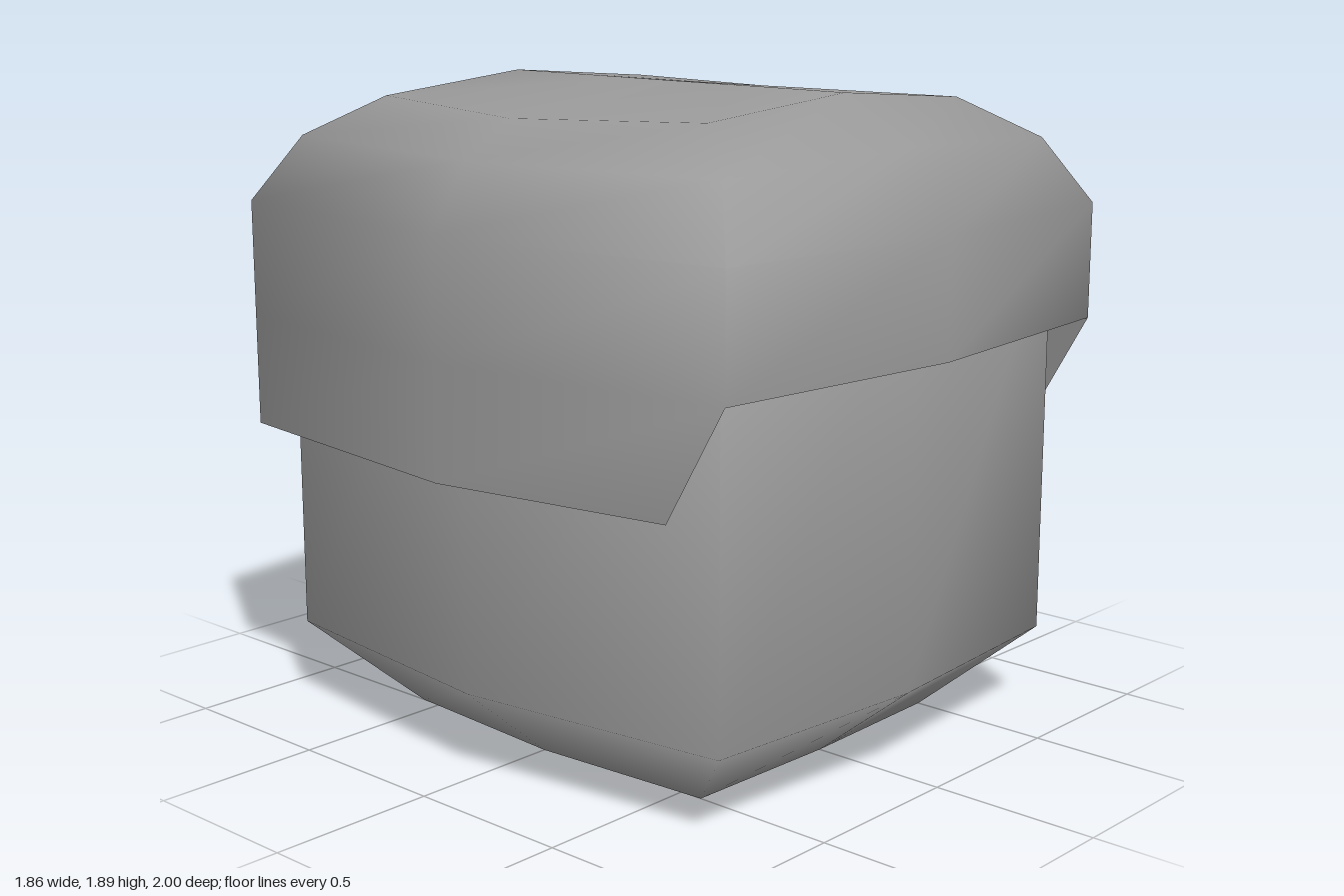
import * as THREE from 'three';

const material = new THREE.MeshStandardMaterial({ color: 0x999999, side: THREE.DoubleSide });

// Eight-sided ring: front/back middles, four corners, side middles.
// Mid-front and corner are given as [x, y, z], mid-side as [x, y].
function ring([, fy, fz], [cx, cy, cz], [sx, sy]) {
  return [
    [0, fy, fz], [cx, cy, cz], [sx, sy, 0], [cx, cy, -cz],
    [0, fy, -fz], [-cx, cy, -cz], [-sx, sy, 0], [-cx, cy, cz],
  ];
}

// Mirrors a half loop running from mid-front to mid-back into a full loop.
function mirrored(half) {
  const other = half.slice(1, -1).reverse().map(([x, y, z]) => [-x, y, z]);
  return [...half, ...other];
}

// Skins stacked rings; optional centre points close the ends, skip() leaves gaps.
function loft(rings, { bottom, top, skip = () => false, flat = false } = {}) {
  const n = rings[0].length;
  const points = rings.flat();
  const index = [];
  for (let r = 0; r < rings.length - 1; r++) {
    for (let i = 0; i < n; i++) {
      if (skip(r, i)) continue;
      const a = r * n + i, b = r * n + (i + 1) % n;
      index.push(a, b, b + n, a, b + n, a + n);
    }
  }
  const cap = (centre, base, up) => {
    const c = points.push(centre) - 1;
    for (let i = 0; i < n; i++) {
      const a = base + i, b = base + (i + 1) % n;
      index.push(c, up ? a : b, up ? b : a);
    }
  };
  if (bottom) cap(bottom, 0, false);
  if (top) cap(top, (rings.length - 1) * n, true);
  let geometry = new THREE.BufferGeometry();
  geometry.setAttribute('position', new THREE.Float32BufferAttribute(points.flat(), 3));
  geometry.setIndex(index);
  if (flat) geometry = geometry.toNonIndexed();
  geometry.computeVertexNormals();
  return geometry;
}

function addMesh(group, name, geometry) {
  const mesh = new THREE.Mesh(geometry, material);
  mesh.name = name;
  group.add(mesh);
}

export function createModel() {
  const model = new THREE.Group();
  model.name = 'headWithCap';

  // Head: bevelled chin, straight sides running up inside the cap
  const headRing = (y) => ring([0, y, 0.895], [0.73, y, 0.835], [0.833, y]);
  addMesh(model, 'head', loft([
    ring([0, 0, 0.585], [0.5, 0, 0.57], [0.54, 0]),
    headRing(0.25),
    headRing(1.5),
  ], { bottom: [0, 0, 0], top: [0, 1.6, 0] }));

  // Cap shell: skirt is cut away over the face, crown steps in to a ridge with a fine slit
  const hem = 0.872;
  const skirt = ring([0, hem, 1], [0.81, hem, 0.92], [0.93, hem]);
  skirt[1] = [0.815, hem, 0.73];
  skirt[7] = [-0.815, hem, 0.73];
  const wall = (y) => ring([0, y, 1], [0.81, y, 0.92], [0.93, y]);
  addMesh(model, 'cap', loft([
    skirt,
    wall(1.2),
    wall(1.54),
    ring([0, 1.76, 0.865], [0.7, 1.73, 0.81], [0.8, 1.725]),
    ring([0, 1.89, 0.635], [0.54, 1.845, 0.62], [0.64, 1.825]),
    ring([0, 1.89, 0.28], [0.002, 1.89, 0.14], [0.003, 1.89]),
  ], { skip: (r, i) => r === 0 && (i === 0 || i === 7) }));

  // Rim: flat underside joining the cap edge to the head
  const inner = mirrored([
    [0, 1.2, 0.89], [0.72, 1.2, 0.83], [0.725, hem, 0.65],
    [0.83, hem, 0], [0.725, hem, -0.83], [0, hem, -0.89],
  ]);
  const outer = mirrored([
    [0, 1.2, 1], [0.81, 1.2, 0.92], [0.815, hem, 0.73],
    [0.93, hem, 0], [0.81, hem, -0.92], [0, hem, -1],
  ]);
  addMesh(model, 'capRim', loft([inner, outer], { flat: true }));

  return model;
}
